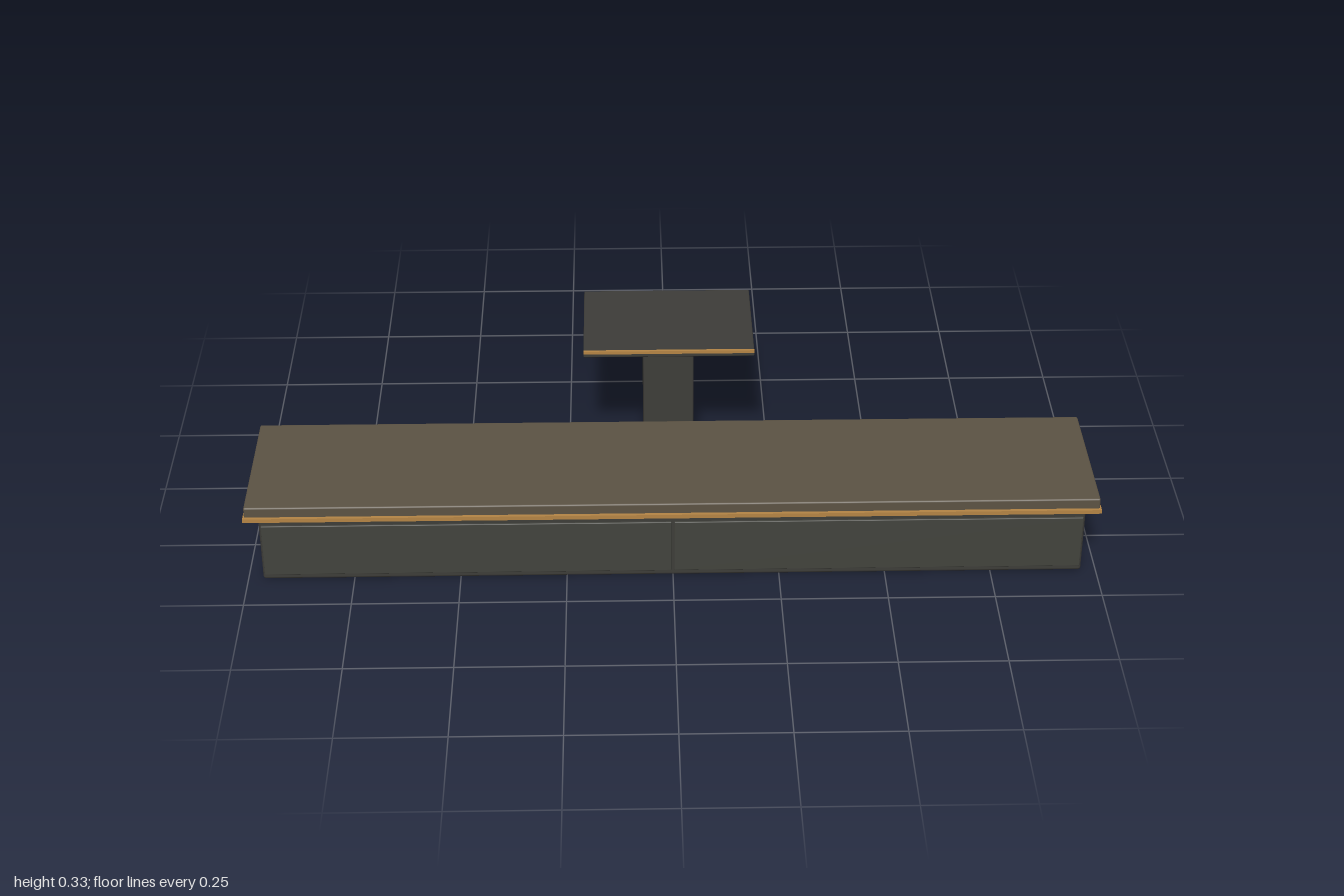
import * as THREE from 'three';
import { RoundedBoxGeometry } from 'three/addons/geometries/RoundedBoxGeometry.js';

const material = (color) => new THREE.MeshStandardMaterial({ color });

export function createModel() {
  const model = new THREE.Group();
  const dark = material(0x3e3d39);
  const front = material(0x42433d);
  const wood = material(0x5c5344);
  const brass = material(0xb58545);

  // Box given by its extents on each axis, with an optional edge radius
  function block(name, mat, [x0, x1], [y0, y1], [z0, z1], radius = 0) {
    const size = [x1 - x0, y1 - y0, z1 - z0];
    const geometry = radius
      ? new RoundedBoxGeometry(...size, 2, radius)
      : new THREE.BoxGeometry(...size);
    const mesh = new THREE.Mesh(geometry, mat);
    mesh.name = name;
    mesh.position.set((x0 + x1) / 2, (y0 + y1) / 2, (z0 + z1) / 2);
    model.add(mesh);
  }

  // Long counter: body, worktop and brass trim under the front edge
  block('counterBody', dark, [-0.965, 0.965], [0, 0.166], [0.026, 0.396], 0.007);
  block('worktop', wood, [-0.997, 0.997], [0.165, 0.2], [0.026, 0.396], 0.004);
  block('frontTrim', brass, [-1, 1], [0.165, 0.175], [0.39, 0.404]);
  block('shadowStrip', dark, [-0.96, 0.96], [0.156, 0.165], [0.39, 0.4]);

  // Mirrored front panels and end trims
  for (const side of [-1, 1]) {
    const span = (a, b) => [a * side, b * side].sort((p, q) => p - q);
    block('frontPanel', front, span(0.003, 0.96), [0.016, 0.152], [0.39, 0.401], 0.002);
    block('endTrim', brass, span(0.99, 1), [0.165, 0.175], [0.026, 0.404]);
  }

  // Separate pedestal with a flat tray and a brass front lip
  block('pedestalPost', dark, [-0.063, 0.063], [0.024, 0.313], [-0.323, -0.167], 0.004);
  block('pedestalTray', dark, [-0.21, 0.21], [0.312, 0.327], [-0.403, -0.09], 0.003);
  block('trayLip', brass, [-0.21, 0.21], [0.322, 0.33], [-0.095, -0.088]);

  return model;
}
